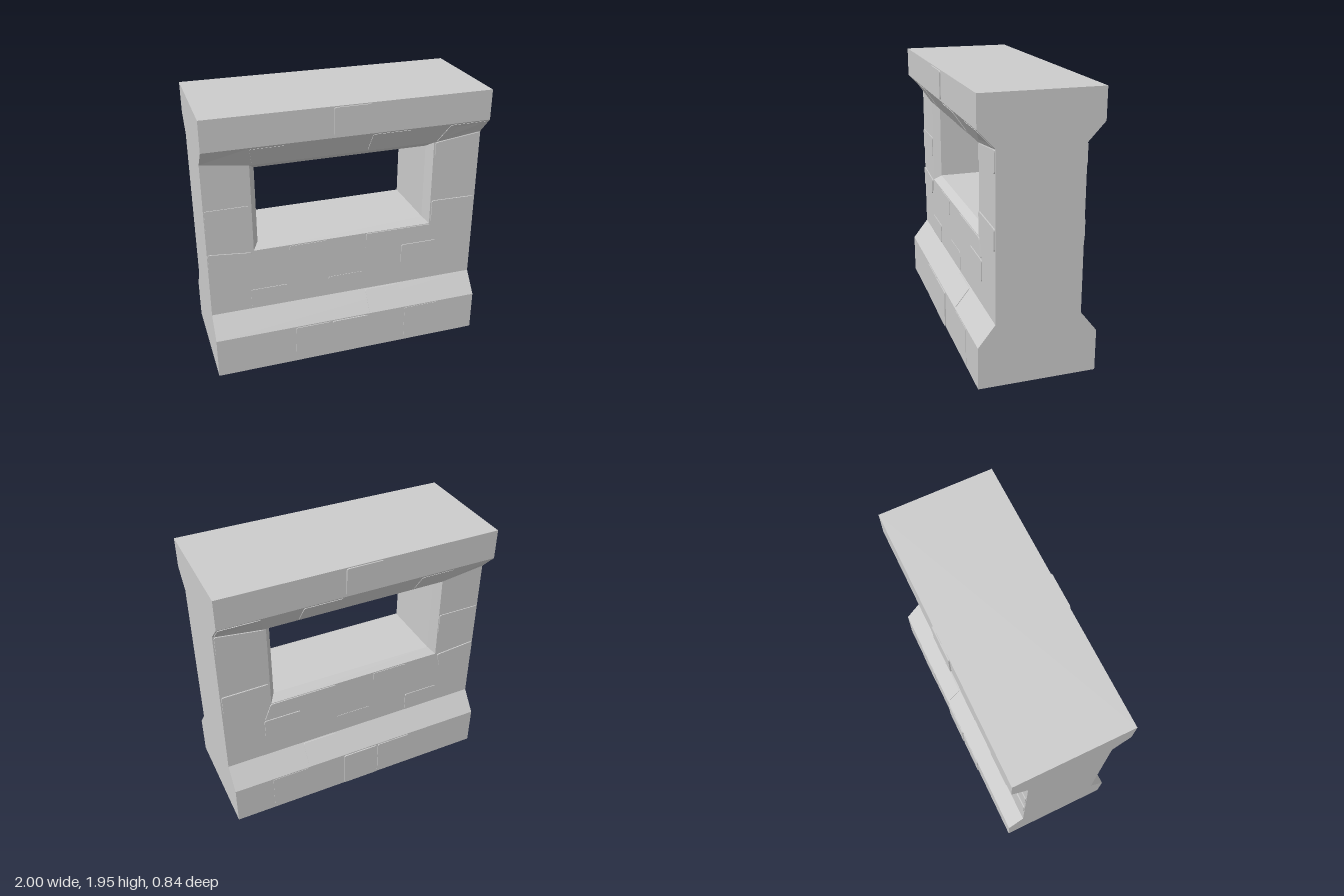
import * as THREE from 'three';

const stone = new THREE.MeshStandardMaterial({ color: 0xcccccc });
stone.name = 'grey stone';

// Main heights and half depths of the wall section
const H = 1.945, FOOT = 0.3, SLOPE = 0.45, CAP = 1.73;
const WIDE = 0.412, THIN = 0.295, REVEAL = 0.24;
// Window: outer rim and inner opening, as left, right, bottom, top
const RIM = { l: -0.675, r: 0.645, b: 0.92, t: 1.56 };
const HOLE = { l: -0.635, r: 0.605, b: 0.96, t: 1.52 };

// Height where the cap's flare starts: it rises towards both ends
const flareStart = (x) => RIM.t + 0.045 * Math.max(0, (Math.abs(x) - 0.66) / 0.34);

// Half depth of the wall surface at a point of its face
function surface(x, y) {
  const s = flareStart(x);
  if (y < FOOT) return WIDE;
  if (y < SLOPE) return WIDE + (THIN - WIDE) * (y - FOOT) / (SLOPE - FOOT);
  if (y <= s) return THIN;
  if (y < CAP) return THIN + (WIDE - THIN) * (y - s) / (CAP - s);
  return WIDE;
}

// Flat-shaded mesh from convex polygons with counter-clockwise corners
function polyMesh(name, polygons) {
  const pos = [];
  for (const p of polygons)
    for (let i = 1; i < p.length - 1; i++) pos.push(...p[0], ...p[i], ...p[i + 1]);
  const g = new THREE.BufferGeometry();
  g.setAttribute('position', new THREE.Float32BufferAttribute(pos, 3));
  g.computeVertexNormals();
  const m = new THREE.Mesh(g, stone);
  m.name = name;
  return m;
}

// Adds the same polygons mirrored to the rear
const bothFaces = (polys) =>
  polys.concat(polys.map((p) => p.map(([x, y, z]) => [x, y, -z]).reverse()));

const corners = (f, z) => [[f.l, f.b, z], [f.r, f.b, z], [f.r, f.t, z], [f.l, f.t, z]];
const band = (y0, z0, y1, z1) => [[-1, y0, z0], [1, y0, z0], [1, y1, z1], [-1, y1, z1]];

// Polygon outline with rounded corners
function roundedShape(pts, r) {
  const s = new THREE.Shape();
  const v = pts.map(([x, y]) => new THREE.Vector2(x, y));
  v.forEach((c, i) => {
    const prev = v[(i + v.length - 1) % v.length], next = v[(i + 1) % v.length];
    const a = c.clone().add(prev.clone().sub(c).setLength(r));
    const b = c.clone().add(next.clone().sub(c).setLength(r));
    if (i === 0) s.moveTo(a.x, a.y); else s.lineTo(a.x, a.y);
    s.quadraticCurveTo(c.x, c.y, b.x, b.y);
  });
  s.closePath();
  return s;
}

// Thin brick face lying on the wall surface; rear ones are mirrored
function brick(pts, proud, rear) {
  const g = new THREE.ExtrudeGeometry(roundedShape(pts, 0.015), {
    depth: proud + 0.001, bevelEnabled: false, curveSegments: 3,
  });
  const p = g.attributes.position;
  for (let i = 0; i < p.count; i++) {
    const z = surface(p.getX(i), p.getY(i)) + p.getZ(i) - 0.001;
    p.setZ(i, z);
  }
  if (rear) {
    // Mirror in z and swap two corners of each triangle
    for (let i = 0; i < p.count; i += 3) {
      const a = [p.getX(i), p.getY(i), p.getZ(i)];
      p.setXYZ(i, p.getX(i + 1), p.getY(i + 1), -p.getZ(i + 1));
      p.setXYZ(i + 1, a[0], a[1], -a[2]);
      p.setZ(i + 2, -p.getZ(i + 2));
    }
  }
  g.computeVertexNormals();
  const m = new THREE.Mesh(g, stone);
  m.name = 'brick';
  return m;
}

const rect = (x0, x1, y0, y1) => [[x0, y0], [x1, y0], [x1, y1], [x0, y1]];

export function createModel() {
  const model = new THREE.Group();
  model.name = 'windowWall';
  const endY = flareStart(1);

  // Footing with sloped shoulder
  model.add(polyMesh('footing', [
    ...bothFaces([band(0, WIDE, FOOT, WIDE), band(FOOT, WIDE, SLOPE, THIN)]),
    [[-1, 0, -WIDE], [1, 0, -WIDE], [1, 0, WIDE], [-1, 0, WIDE]],
  ]));

  // Wall below the window and the two piers
  model.add(polyMesh('wallFace', bothFaces([
    band(SLOPE, THIN, RIM.b, THIN),
    [[-1, RIM.b, THIN], [RIM.l, RIM.b, THIN], [RIM.l, RIM.t, THIN], [-1, endY, THIN]],
    [[RIM.r, RIM.b, THIN], [1, RIM.b, THIN], [1, endY, THIN], [RIM.r, RIM.t, THIN]],
  ])));

  // Flared cap with flat top
  model.add(polyMesh('cap', [
    ...bothFaces([
      [[RIM.l, RIM.t, THIN], [RIM.r, RIM.t, THIN], [RIM.r, CAP, WIDE], [RIM.l, CAP, WIDE]],
      [[-1, endY, THIN], [RIM.l, RIM.t, THIN], [RIM.l, CAP, WIDE], [-1, CAP, WIDE]],
      [[RIM.r, RIM.t, THIN], [1, endY, THIN], [1, CAP, WIDE], [RIM.r, CAP, WIDE]],
      band(CAP, WIDE, H, WIDE),
    ]),
    [[-1, H, WIDE], [1, H, WIDE], [1, H, -WIDE], [-1, H, -WIDE]],
  ]));

  // Window: chamfered rim and straight tunnel
  const rim = corners(RIM, THIN), hole = corners(HOLE, REVEAL), back = corners(HOLE, -REVEAL);
  const chamfer = [], tunnel = [];
  for (let i = 0; i < 4; i++) {
    const j = (i + 1) % 4;
    chamfer.push([rim[i], rim[j], hole[j], hole[i]]);
    tunnel.push([hole[i], hole[j], back[j], back[i]]);
  }
  model.add(polyMesh('windowChamfer', bothFaces(chamfer)));
  model.add(polyMesh('windowTunnel', tunnel));

  // End faces following the wall section
  const half = [[0, WIDE], [FOOT, WIDE], [SLOPE, THIN], [endY, THIN], [CAP, WIDE], [H, WIDE]];
  for (const x of [-1, 1]) {
    const strips = [];
    for (let i = 0; i < half.length - 1; i++) {
      const [y0, z0] = half[i], [y1, z1] = half[i + 1];
      const q = [[x, y0, z0], [x, y0, -z0], [x, y1, -z1], [x, y1, z1]];
      strips.push(x > 0 ? q : q.reverse());
    }
    model.add(polyMesh(x > 0 ? 'leftEnd' : 'rightEnd', strips));
  }

  // Raised bricks: outline and how far they stand proud
  const bricks = [
    [rect(-0.13, 0.13, 1.74, 1.938), 0.009],
    [rect(-0.42, -0.15, 0.008, 0.292), 0.006],
    [rect(-0.14, 0.135, 0.008, 0.292), 0.009],
    [rect(0.43, 0.71, 0.008, 0.292), 0.003],
    [rect(0.15, 0.42, 0.305, 0.445), 0.006],
    [rect(-0.71, -0.435, 0.455, 0.605), 0.005],
    [rect(-0.135, 0.14, 0.458, 0.605), 0.003],
    [rect(0.43, 0.705, 0.62, 0.775), 0.007],
    [rect(-0.42, -0.15, 0.79, 0.912), 0.004],
    [[[0.15, 0.785], [0.7, 0.785], [0.65, 0.915], [0.15, 0.915]], 0.007],
    [[[-0.995, 0.79], [-0.72, 0.785], [-0.69, 0.91], [-0.995, 0.94]], 0.008],
    [rect(-0.995, -0.68, 1.115, 1.27), 0.006],
    [[[0.655, 0.93], [0.99, 0.95], [0.99, 1.1], [0.655, 1.105]], 0.009],
    [[[0.655, 1.45], [0.99, 1.45], [0.99, 1.6], [0.655, 1.558]], 0.008],
    [[[0.66, 1.568], [0.99, 1.61], [0.99, 1.72], [0.71, 1.72]], 0.006],
    [[[-0.66, 1.57], [-0.44, 1.57], [-0.44, 1.715], [-0.69, 1.715]], 0.004],
    [rect(0.145, 0.42, 1.57, 1.72), 0.006],
  ];
  for (const rear of [false, true]) {
    const group = new THREE.Group();
    group.name = rear ? 'rearBricks' : 'frontBricks';
    for (const [pts, proud] of bricks) group.add(brick(pts, proud, rear));
    model.add(group);
  }
  return model;
}
